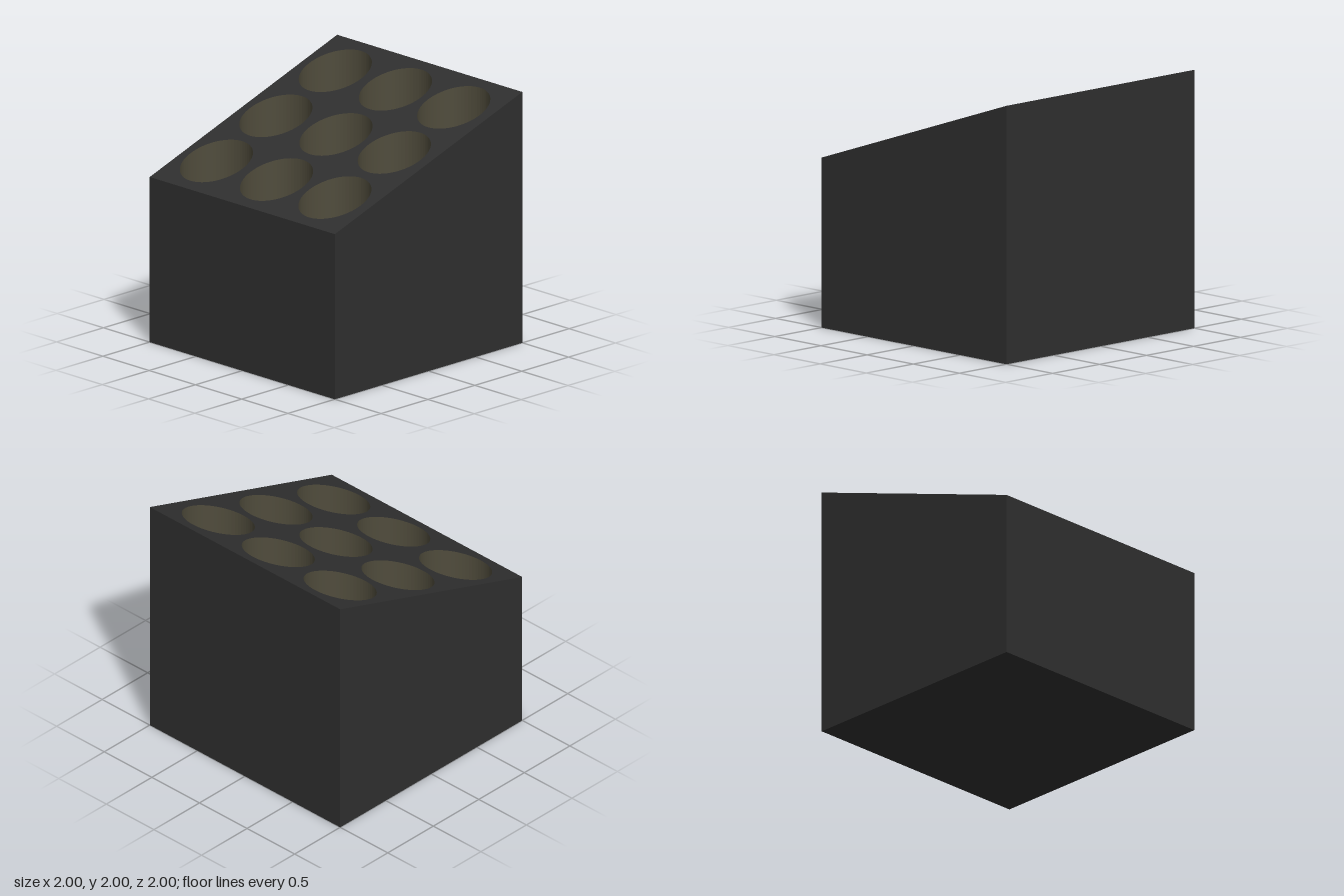
import * as THREE from 'three';

const R = 0.278, FLOOR = 0.02, SEGMENTS = 64;
const COLUMNS = [-0.65, 0, 0.63], ROWS = [-0.634, 0, 0.634];

// Height of the sloping top at depth z
const topY = (z) => 1.658 - 0.342 * z;

// Move every vertex above the floor up or down onto the sloping top
function shearTop(geometry) {
  const p = geometry.attributes.position;
  for (let i = 0; i < p.count; i++) {
    if (p.getY(i) > 0.5) p.setY(i, topY(p.getZ(i)));
  }
  return geometry;
}

export function createModel() {
  const group = new THREE.Group();
  const charcoal = new THREE.MeshStandardMaterial({ color: 0x2f2f2f });
  charcoal.name = 'charcoal';
  const olive = new THREE.MeshStandardMaterial({ color: 0x504c3c, flatShading: true });
  olive.name = 'olive lining';

  const add = (name, geometry, material) => {
    const mesh = new THREE.Mesh(geometry, material);
    mesh.name = name;
    group.add(mesh);
  };

  // Block: four walls and a base, with the box's top face left out
  const block = new THREE.BoxGeometry(2, 1, 2).translate(0, 0.5, 0);
  const index = Array.from(block.index.array);
  block.setIndex([...index.slice(0, 12), ...index.slice(18)]);
  block.clearGroups();
  add('block', shearTop(block), charcoal);

  // Sloping top plate with nine round openings
  const plate = new THREE.Shape([[-1, -1], [1, -1], [1, 1], [-1, 1]].map(([x, y]) => new THREE.Vector2(x, y)));
  for (const x of COLUMNS) for (const z of ROWS) {
    plate.holes.push(new THREE.Path().absarc(x, -z, R, 0, Math.PI * 2, true));
  }
  const top = new THREE.ShapeGeometry(plate, SEGMENTS / 2).rotateX(-Math.PI / 2).translate(0, 1, 0);
  shearTop(top).computeVertexNormals();
  add('slopingTop', top, charcoal);

  // Vertical wells: inward-facing lining and flat floor
  for (const x of COLUMNS) for (const z of ROWS) {
    const lining = new THREE.CylinderGeometry(R, R, 1, SEGMENTS, 1, true)
      .scale(-1, 1, 1).translate(x, 0.5 + FLOOR, z);
    shearTop(lining).computeVertexNormals();
    add('wellLining', lining, olive);
    add('wellFloor', new THREE.CircleGeometry(R, SEGMENTS).rotateX(-Math.PI / 2).translate(x, FLOOR, z), charcoal);
  }
  return group;
}
